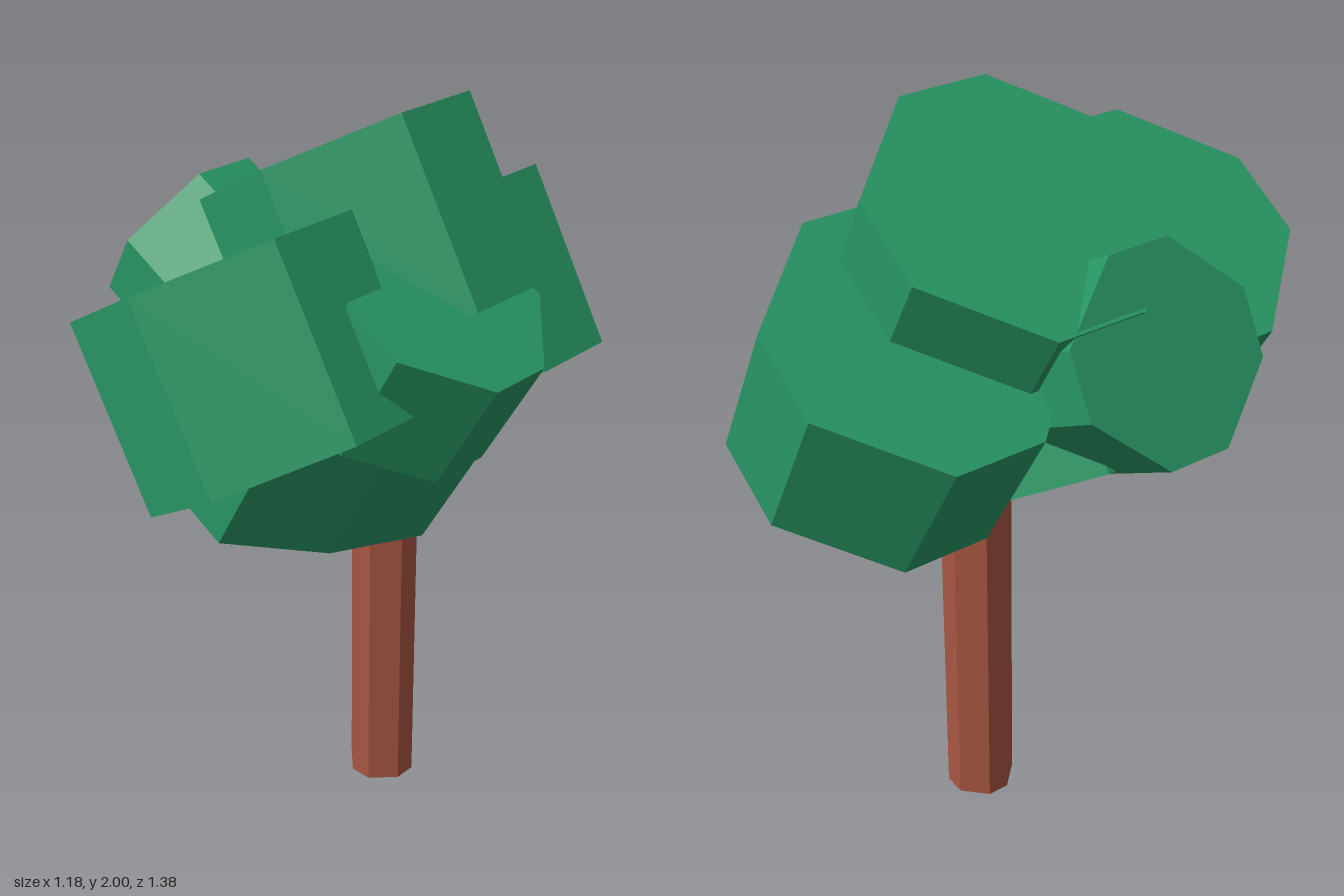
import * as THREE from 'three';

// Eight-sided outline: a square whose corners are cut at one third of its width
function octagon(width) {
  const h = width / 2, t = width / 6;
  return [[h, -t], [h, t], [t, h], [-t, h], [-h, t], [-h, -t], [-t, -h], [t, -h]];
}

// Upright prism centred on its origin, from an outline of [x, -z] points
function prism(outline, height) {
  const shape = new THREE.Shape(outline.map(([x, y]) => new THREE.Vector2(x, y)));
  const geo = new THREE.ExtrudeGeometry(shape, { depth: height, bevelEnabled: false });
  geo.translate(0, 0, -height / 2);
  geo.rotateX(-Math.PI / 2);
  return geo;
}

export function createModel() {
  const group = new THREE.Group();
  const leafGreen = new THREE.MeshStandardMaterial({ color: 0x289564 });
  leafGreen.name = 'leafGreen';
  const barkBrown = new THREE.MeshStandardMaterial({ color: 0xa85642 });
  barkBrown.name = 'barkBrown';

  function add(name, geo, mat, position, tiltDegrees = 0) {
    const mesh = new THREE.Mesh(geo, mat);
    mesh.name = name;
    mesh.position.set(...position);
    mesh.rotation.z = THREE.MathUtils.degToRad(tiltDegrees);
    group.add(mesh);
  }

  // Trunk
  add('trunk', prism(octagon(0.18), 1.3), barkBrown, [0.01, 0.65, -0.12]);

  // Three large leaf clumps, all tilted the same way
  const large = prism(octagon(0.71), 0.47);
  add('topFoliage', large, leafGreen, [0.01, 1.619, -0.065], 30);
  add('backFoliage', large, leafGreen, [0.01, 1.379, -0.335], 30);
  add('frontFoliage', large, leafGreen, [0.01, 1.439, 0.335], 30);

  // Two small clumps poking out at the sides
  const small = prism(octagon(0.5), 0.33);
  add('leftFoliage', small, leafGreen, [0.29, 1.472, 0.088], -30);
  add('rightFoliage', small, leafGreen, [-0.322, 1.467, 0.088], 60);

  // Slightly uneven clump underneath
  const lower = [
    [0.115, -0.375], [0.275, -0.135], [0.355, 0.135], [0.115, 0.375],
    [-0.12, 0.375], [-0.355, 0.12], [-0.355, -0.12], [-0.12, -0.375],
  ];
  add('lowerFoliage', prism(lower, 0.46), leafGreen, [0.018, 1.257, 0.095], -30);

  return group;
}
